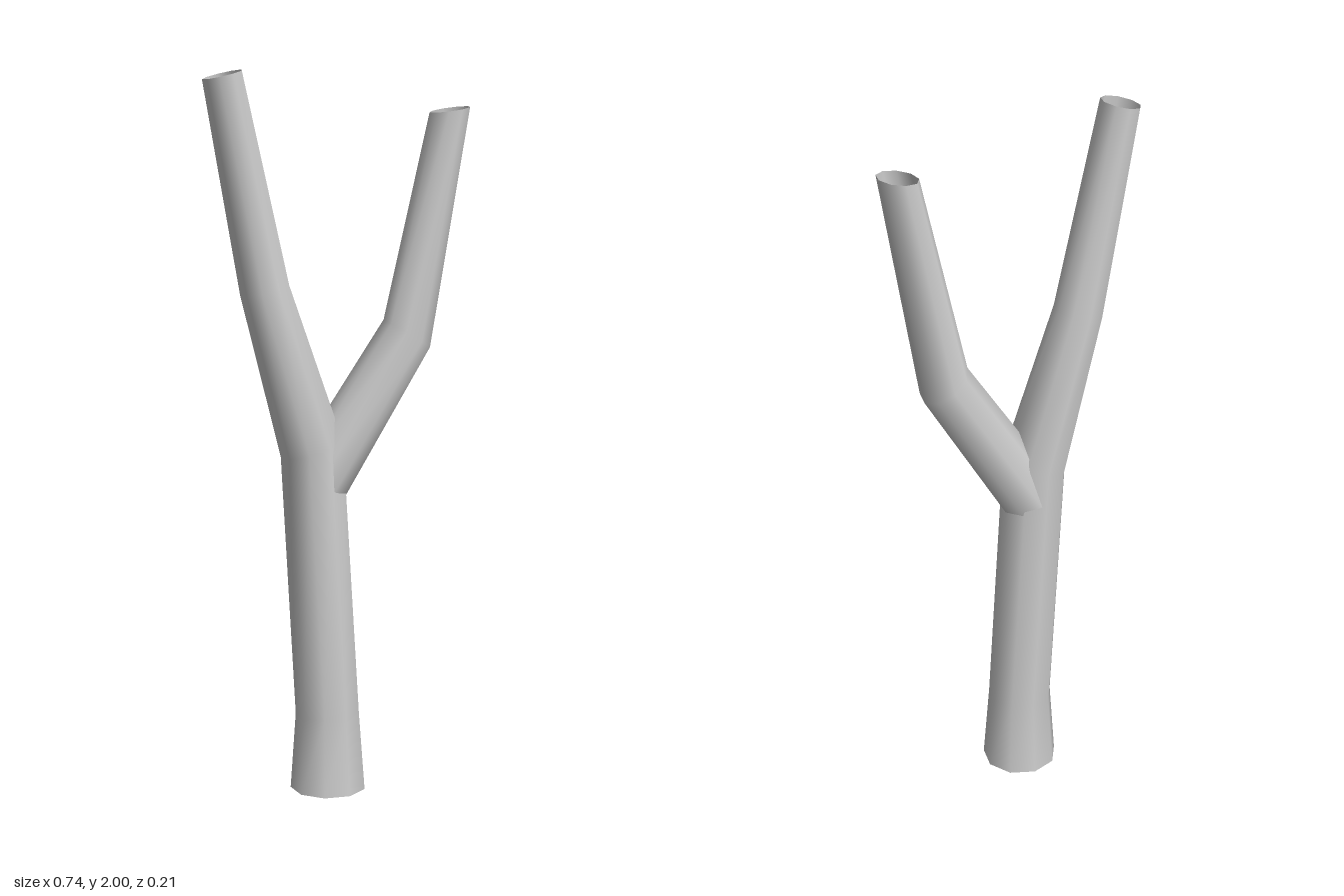
import * as THREE from 'three';

const SIDES = 9;
const material = new THREE.MeshStandardMaterial({ color: 0xcccccc, side: THREE.DoubleSide });

// Open, tapering limb through rings of [x, y, radius, tilt in degrees about z].
function limb(name, rings) {
  const positions = [];
  const index = [];
  rings.forEach(([x, y, r, tilt], i) => {
    const t = THREE.MathUtils.degToRad(tilt);
    for (let k = 0; k < SIDES; k++) {
      const a = (k / SIDES) * Math.PI * 2;
      const across = Math.sin(a) * r;
      positions.push(x + across * Math.cos(t), y + across * Math.sin(t), -Math.cos(a) * r);
      if (i === 0) continue;
      const next = (k + 1) % SIDES;
      const low = (i - 1) * SIDES;
      const high = i * SIDES;
      index.push(low + k, high + k, low + next);
      index.push(high + k, high + next, low + next);
    }
  });
  const geometry = new THREE.BufferGeometry();
  geometry.setAttribute('position', new THREE.Float32BufferAttribute(positions, 3));
  geometry.setIndex(index);
  geometry.computeVertexNormals();
  const mesh = new THREE.Mesh(geometry, material);
  mesh.name = name;
  return mesh;
}

export function createModel() {
  const tree = new THREE.Group();
  tree.name = 'bareTree';

  // Trunk, flared at the foot, running on into the taller limb
  tree.add(limb('trunk', [
    [-0.031, 0, 0.106, 0],
    [-0.032, 0.22, 0.09, 2],
    [-0.075, 0.975, 0.09, 16],
    [-0.205, 1.415, 0.069, 13],
    [-0.317, 1.987, 0.055, 13],
  ]));

  // Side branch, rooted inside the trunk
  tree.add(limb('sideBranch', [
    [-0.058, 0.88, 0.086, -31],
    [0.193, 1.28, 0.075, -32],
    [0.311, 1.887, 0.056, 8],
  ]));

  // Odd-sided rings reach further back than forward
  tree.position.z = 0.003;
  const model = new THREE.Group();
  model.add(tree);
  return model;
}
